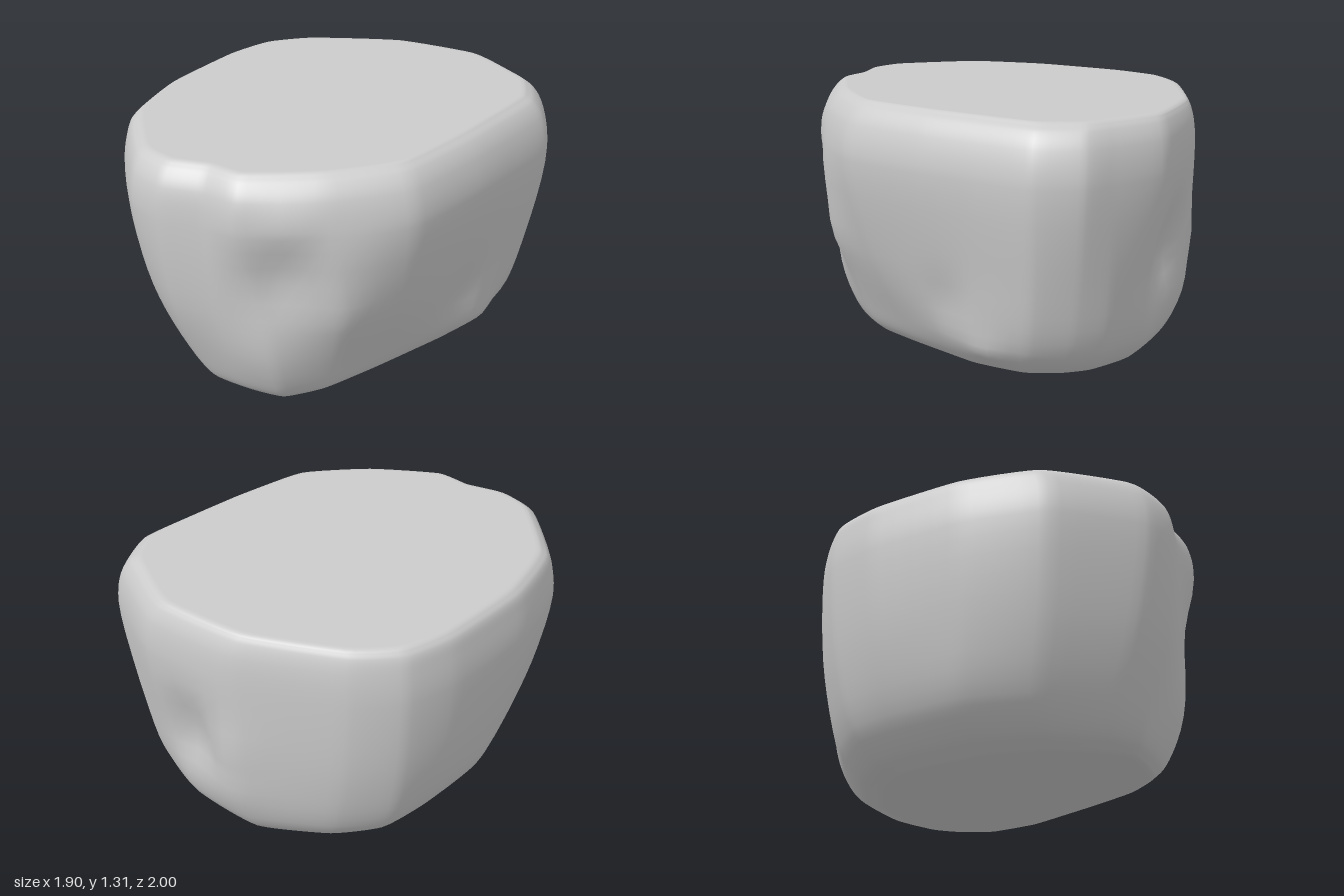
import * as THREE from 'three';

// Outlines of the boulder as [x, z] corners, running back -> left -> front -> right.
const WIDE = [[-.03, -1], [.46, -.98], [.74, -.81], [.87, -.71], [.95, -.49], [.89, -.18], [.82, .12], [.68, .54], [.37, .81],
  [0, .99], [-.2, .965], [-.42, .99], [-.62, .91], [-.9, .53], [-.95, .1], [-.87, -.4], [-.76, -.66], [-.54, -.83]];
const MID = [[-.03, -.97], [.42, -.92], [.68, -.79], [.8, -.67], [.88, -.47], [.81, -.15], [.72, .14], [.6, .46], [.4, .73],
  [.08, .9], [-.18, .93], [-.4, .94], [-.58, .83], [-.82, .48], [-.88, .08], [-.82, -.37], [-.72, -.63], [-.5, -.81]];
const LOW = [[-.03, -.91], [.35, -.87], [.6, -.74], [.71, -.61], [.78, -.42], [.73, -.12], [.62, .1], [.48, .36], [.31, .64],
  [.1, .82], [-.15, .84], [-.36, .82], [-.5, .71], [-.7, .4], [-.77, .05], [-.71, -.33], [-.63, -.57], [-.42, -.75]];

// Levels from base to top: outline, height, x scale, z scale, x shift, z shift.
const LEVELS = [
  [LOW, .01, .69, .82, 0, .04],
  [LOW, .06, .83, .91, 0, .015],
  [LOW, .2, 1, 1, 0, 0],
  [MID, .55, 1, 1, 0, 0],
  [WIDE, 1.02, 1, 1, 0, 0],
  [WIDE, 1.19, .975, .985, -.01, -.005],
  [WIDE, 1.265, .94, .95, -.025, -.015],
  [WIDE, 1.293, .905, .925, -.032, -.022],
];

// Soft dents (negative) and bumps: x, y, z, radius, depth.
const DENTS = [
  [.14, .78, .9, .18, -.05],
  [.2, 1.06, .9, .13, .02],
  [.41, .6, .7, .15, .025],
  [.46, .88, .74, .2, .02],
  [.05, .32, .88, .2, .02],
  [.26, .72, -.95, .13, -.04],
  [.26, .55, -.92, .14, -.06],
  [.04, .62, -.97, .14, .025],
  [.03, .38, -.94, .15, .025],
  [.74, .14, -.2, .1, .035],
  [.76, .38, .02, .14, -.025],
];

function sculpt(p) {
  const r = Math.hypot(p.x, p.z);
  let push = 0;
  for (const [x, y, z, radius, depth] of DENTS) {
    const d2 = (p.x - x) ** 2 + (p.y - y) ** 2 + (p.z - z) ** 2;
    push += depth * Math.exp(-d2 / (radius * radius));
  }
  p.x *= 1 + push / r;
  p.z *= 1 + push / r;
  return p;
}

function boulderGeometry(around = 108, rise = 35) {
  // Taut closed loop through each level, so the corners stay faceted.
  const loops = LEVELS.map(([outline, y, sx, sz, dx, dz]) => new THREE.CatmullRomCurve3(
    outline.map(([x, z]) => new THREE.Vector3(x * sx + dx, y, z * sz + dz)), true, 'catmullrom', .25));
  const columns = [];
  for (let i = 0; i < around; i++) {
    const column = new THREE.CatmullRomCurve3(loops.map(loop => loop.getPoint(i / around)));
    columns.push(column.getPoints(rise).map(sculpt));
  }

  const positions = [], index = [];
  const add = (x, y, z) => positions.push(x, y, z) / 3 - 1;
  const ring = points => points.map(p => add(p.x, p.y + .013 * p.x * p.y, p.z));
  const inset = (j, s) => columns.map(c => {
    const p = c[j].clone();
    p.x *= s;
    p.z *= s;
    p.y += j ? .008 : -.008;
    return p;
  });

  // Side rings with a narrow rim that keeps both end faces flat.
  const rings = [ring(inset(0, .96))];
  for (let j = 0; j <= rise; j++) rings.push(ring(columns.map(c => c[j])));
  rings.push(ring(inset(rise, .985)), ring(inset(rise, .965)));
  for (let j = 0; j < rings.length - 1; j++) {
    for (let i = 0; i < around; i++) {
      const n = (i + 1) % around;
      const a = rings[j][i], b = rings[j][n], c = rings[j + 1][i], d = rings[j + 1][n];
      index.push(a, c, b, b, c, d);
    }
  }

  // Flat base and flat top.
  const base = add(0, .002, 0), top = add(0, 1.301, 0);
  const first = rings[0], last = rings[rings.length - 1];
  for (let i = 0; i < around; i++) {
    const n = (i + 1) % around;
    index.push(base, first[i], first[n], top, last[n], last[i]);
  }

  const geometry = new THREE.BufferGeometry();
  geometry.setAttribute('position', new THREE.Float32BufferAttribute(positions, 3));
  geometry.setIndex(index);
  geometry.computeVertexNormals();
  return geometry;
}

export function createModel() {
  const group = new THREE.Group();
  group.name = 'flatToppedRock';
  const boulder = new THREE.Mesh(boulderGeometry(), new THREE.MeshStandardMaterial({ color: 0xcccccc }));
  boulder.name = 'boulder';
  group.add(boulder);
  return group;
}
